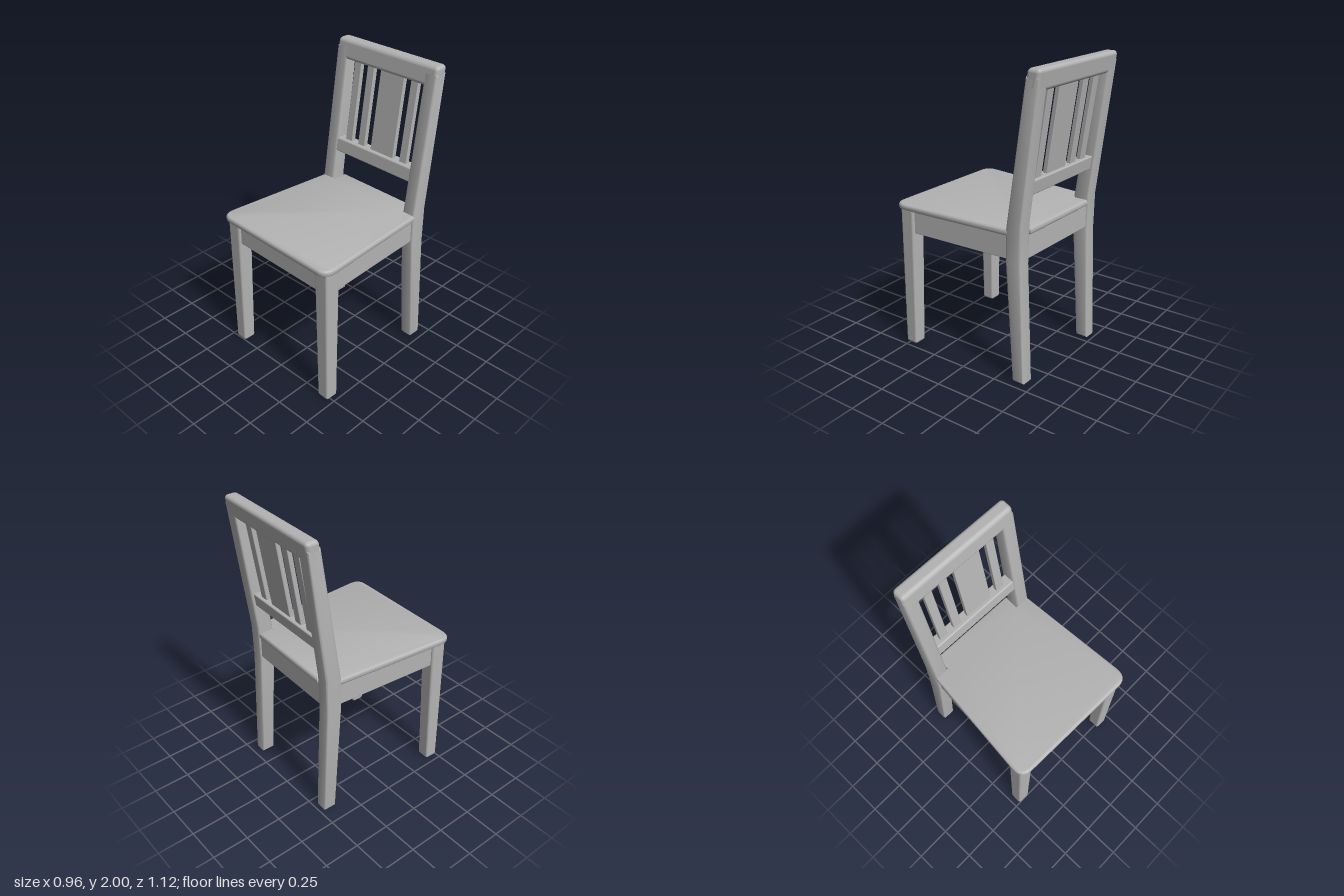
import * as THREE from 'three';
import { toCreasedNormals } from 'three/addons/utils/BufferGeometryUtils.js';
import { RoundedBoxGeometry } from 'three/addons/geometries/RoundedBoxGeometry.js';

const LEAN = 0.148; // backward slope of the backrest
const BACK_FRONT = -0.315; // front plane of the back posts at seat height
const SEAT_Y = 1.02;

export function createModel() {
  const model = new THREE.Group();
  model.name = 'chair';
  const frame = new THREE.Group();
  frame.name = 'chairFrame';
  frame.position.x = 0.018;
  frame.rotation.y = -0.031;
  model.add(frame);

  const grey = new THREE.MeshStandardMaterial({ color: 0xb3b3b3 });
  grey.name = 'plain grey';

  const add = (name, geometry) => {
    const mesh = new THREE.Mesh(geometry, grey);
    mesh.name = name;
    frame.add(mesh);
    return mesh;
  };

  // Rounded box given by its extents
  const block = (x0, x1, y0, y1, z0, z1, r) =>
    new RoundedBoxGeometry(x1 - x0, y1 - y0, z1 - z0, 3, r)
      .translate((x0 + x1) / 2, (y0 + y1) / 2, (z0 + z1) / 2);

  // Tilts a block backwards along the backrest
  const lean = new THREE.Matrix4().set(
    1, 0, 0, 0,
    0, 1, 0, 0,
    0, -LEAN, 1, LEAN * SEAT_Y,
    0, 0, 0, 1);
  const leaning = (x0, x1, y0, y1, inset, depth, r) =>
    block(x0, x1, y0, y1, BACK_FRONT - inset - depth, BACK_FRONT - inset, r).applyMatrix4(lean);

  // Seat: trapezoid with round front corners, notched around the back posts
  const seat = new THREE.Shape();
  seat.moveTo(-0.32, 0.43);
  seat.lineTo(-0.32, 0.33);
  seat.lineTo(-0.42, 0.33);
  seat.lineTo(-0.482, -0.455);
  seat.quadraticCurveTo(-0.487, -0.5475, -0.405, -0.5475);
  seat.lineTo(0.405, -0.5475);
  seat.quadraticCurveTo(0.487, -0.5475, 0.482, -0.455);
  seat.lineTo(0.42, 0.33);
  seat.lineTo(0.32, 0.33);
  seat.lineTo(0.32, 0.43);
  seat.closePath();
  const bevel = 0.018;
  const seatGeometry = new THREE.ExtrudeGeometry(seat, {
    depth: 0.047 - 2 * bevel, bevelThickness: bevel, bevelSize: bevel,
    bevelOffset: -bevel, bevelSegments: 4, curveSegments: 10,
  });
  seatGeometry.rotateX(-Math.PI / 2).translate(0, 0.979 + bevel, 0);
  add('seat', toCreasedNormals(seatGeometry, 0.6));

  // Side outline of a back post, bent at the seat (z, y)
  const profile = new THREE.Shape([
    [-0.368, 0], [-0.315, 0.8], [-0.315, 1.02], [-0.452, 1.95],
    [-0.543, 1.95], [-0.43, 1.05], [-0.425, 0.8], [-0.455, 0],
  ].map(([z, y]) => new THREE.Vector2(-z, y)));
  const r = 0.014;

  for (const s of [-1, 1]) {
    const side = s > 0 ? 'left' : 'right';

    // Back post, leg and upright in one piece
    const post = new THREE.ExtrudeGeometry(profile, {
      depth: 0.095 - 2 * r, bevelThickness: r, bevelSize: r, bevelOffset: -r, bevelSegments: 3,
    });
    post.rotateY(Math.PI / 2).translate(s * 0.3725 - 0.0475 + r, 0, 0);
    add(side + 'BackPost', toCreasedNormals(post, 0.6));

    // Front leg, tapering on its inner faces
    const leg = new RoundedBoxGeometry(0.11, 0.99, 0.11, 3, 0.018).translate(0, 0.495, 0);
    const p = leg.attributes.position;
    for (let i = 0; i < p.count; i++) {
      const size = 0.09 + 0.02 * Math.min(1, p.getY(i) / 0.85);
      p.setX(i, s * 0.465 + (p.getX(i) - s * 0.055) * size / 0.11);
      p.setZ(i, 0.515 + (p.getZ(i) - 0.055) * size / 0.11);
    }
    add(side + 'FrontLeg', leg);

    // Side apron, following the slanted seat edge
    const apron = block(-0.02, 0.02, 0.825, 0.985, -0.4, 0.4, 0.005);
    apron.rotateY(s * 0.06).translate(s * 0.407, 0, 0.06);
    add(side + 'Apron', apron);
  }

  // Front and back aprons
  add('frontApron', block(-0.4, 0.4, 0.825, 0.985, 0.455, 0.498, 0.005));
  add('backApron', block(-0.35, 0.35, 0.825, 0.985, -0.415, -0.37, 0.005));

  // Backrest rails
  add('topRail', leaning(-0.42, 0.42, 1.865, 2, 0, 0.092, 0.026));
  add('lowerRail', leaning(-0.35, 0.35, 1.23, 1.325, 0.006, 0.08, 0.01));

  // Backrest slats: centre and width
  for (const [x, w] of [[-0.2475, 0.06], [-0.1325, 0.06], [0.0525, 0.2], [0.2375, 0.06]]) {
    add('backSlat', leaning(x - w / 2, x + w / 2, 1.3, 1.89, 0.032, 0.032, 0.005));
  }
  return model;
}
